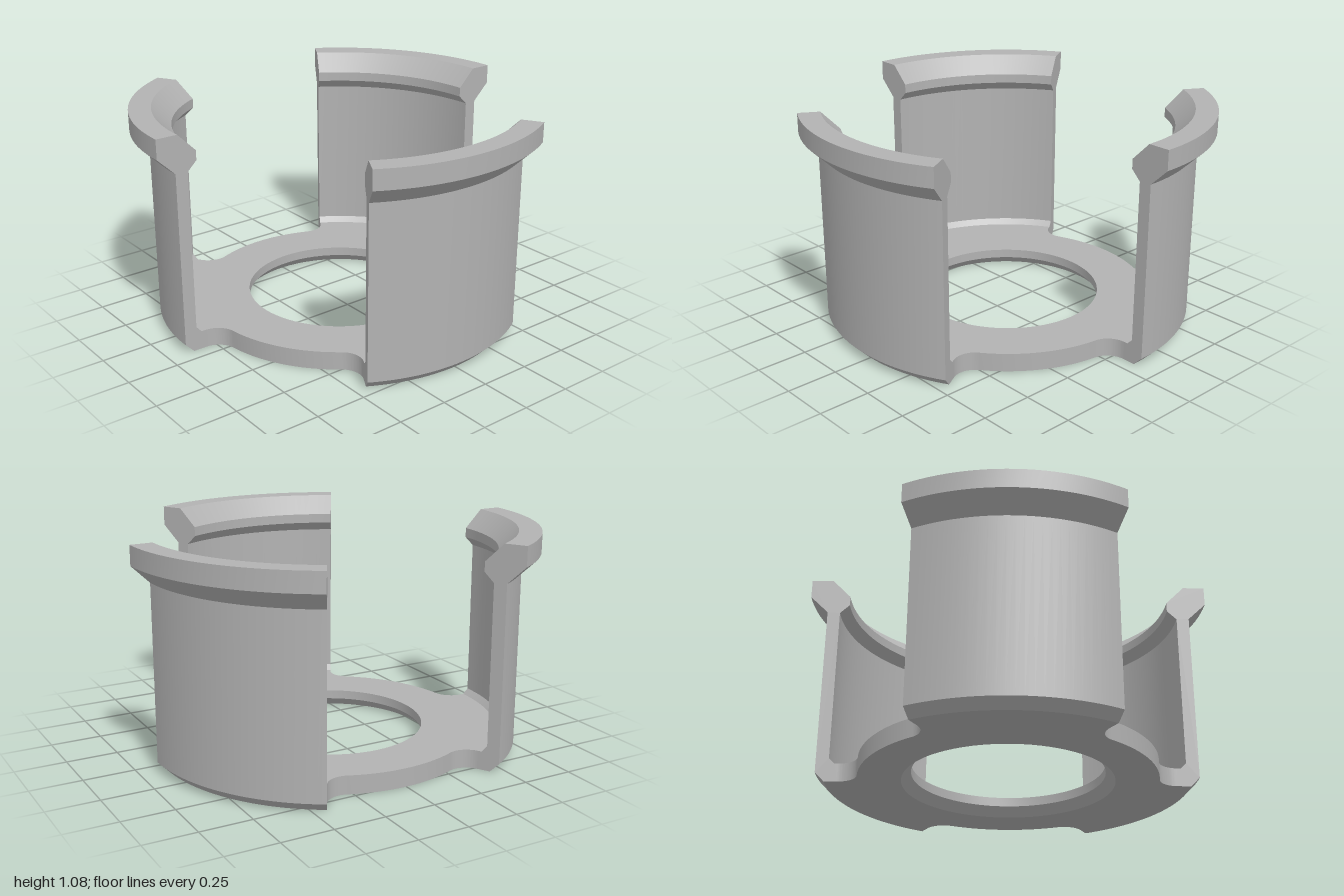
import * as THREE from 'three';
import { toCreasedNormals } from 'three/addons/utils/BufferGeometryUtils.js';

const rad = THREE.MathUtils.degToRad;
const STEPS = 24;          // divisions of every arc
const FLOOR = 0.09;        // floor thickness
const NOTCH = 0.1;         // radius of the rounded notch beside each arm
const RING = 0.71;         // floor radius between the arms
const RIM = 0.505;         // where the floor meets the chamfered hole rim
const NOTCH_DIST = RING + NOTCH;
const JOIN = Math.sqrt(NOTCH_DIST ** 2 - NOTCH ** 2); // floor radius under the arms

// Flat floor with three lobes joined by rounded notches
function floorGeometry() {
  const shape = new THREE.Shape();
  const hole = new THREE.Path();
  const delta = Math.asin(NOTCH / NOTCH_DIST);
  for (let k = 0; k < 3; k++) {
    const base = rad(120 * k);
    const edge1 = base + rad(30), edge2 = base + rad(90);
    const c1 = edge1 + delta, c2 = edge2 - delta;
    const notch = (c, from, to) => shape.absarc(
      NOTCH_DIST * Math.cos(c), NOTCH_DIST * Math.sin(c), NOTCH, from, to, true);
    shape.absarc(0, 0, JOIN, base - rad(30), edge1, false);
    notch(c1, edge1 - Math.PI / 2, c1 - Math.PI);
    shape.absarc(0, 0, RING, c1, c2, false);
    notch(c2, c2 + Math.PI, edge2 + Math.PI / 2);
    hole.absarc(0, 0, RIM, base, base + rad(120), false);
  }
  shape.holes.push(hole);
  const geo = new THREE.ExtrudeGeometry(shape, {
    depth: FLOOR, bevelEnabled: false, curveSegments: STEPS / 2,
  });
  geo.rotateX(-Math.PI / 2);
  return toCreasedNormals(geo, 0.5);
}

// Rim of the central hole, chamfered on its underside
function rimGeometry() {
  const profile = [[RIM, FLOOR], [0.46, FLOOR], [0.46, 0.045], [RIM, 0]]
    .map(([r, y]) => new THREE.Vector2(r, y));
  return toCreasedNormals(new THREE.LatheGeometry(profile, STEPS * 3), 0.5);
}

// Arm cross-section (radius, height) extruded, then bent through 60 degrees
function armGeometry() {
  const profile = [
    [JOIN, 0], [0.868, 0], [0.912, 0.045], [0.912, 0.9], [1, 0.985], [1, 1.08],
    [0.893, 1.08], [0.803, 0.99], [0.803, 0.943], [0.85, 0.897],
    [0.85, 0.117], [0.823, FLOOR], [JOIN, FLOOR],
  ].map(([r, y]) => new THREE.Vector2(r, y));
  const geo = new THREE.ExtrudeGeometry(new THREE.Shape(profile), {
    depth: 1, steps: STEPS, bevelEnabled: false,
  });
  const pos = geo.attributes.position;
  for (let i = 0; i < pos.count; i++) {
    const r = pos.getX(i), a = rad(60) * (pos.getZ(i) - 0.5);
    pos.setXYZ(i, r * Math.cos(a), pos.getY(i), r * Math.sin(a));
  }
  return toCreasedNormals(geo, 0.5);
}

export function createModel() {
  const model = new THREE.Group();
  model.name = 'threeArmHolder';
  const grey = new THREE.MeshStandardMaterial({ color: 0xb2b2b2 });
  grey.name = 'grey';

  const body = new THREE.Group();
  body.name = 'body';
  body.position.x = -0.067; // the round axis sits off the centre of the bounds
  model.add(body);

  const add = (geo, name) => {
    const mesh = new THREE.Mesh(geo, grey);
    mesh.name = name;
    body.add(mesh);
    return mesh;
  };
  add(floorGeometry(), 'floor');
  add(rimGeometry(), 'holeRim');
  const arm = armGeometry();
  ['leftArm', 'backRightArm', 'frontRightArm'].forEach((name, k) => {
    add(arm, name).rotation.y = rad(120 * k);
  });
  return model;
}
